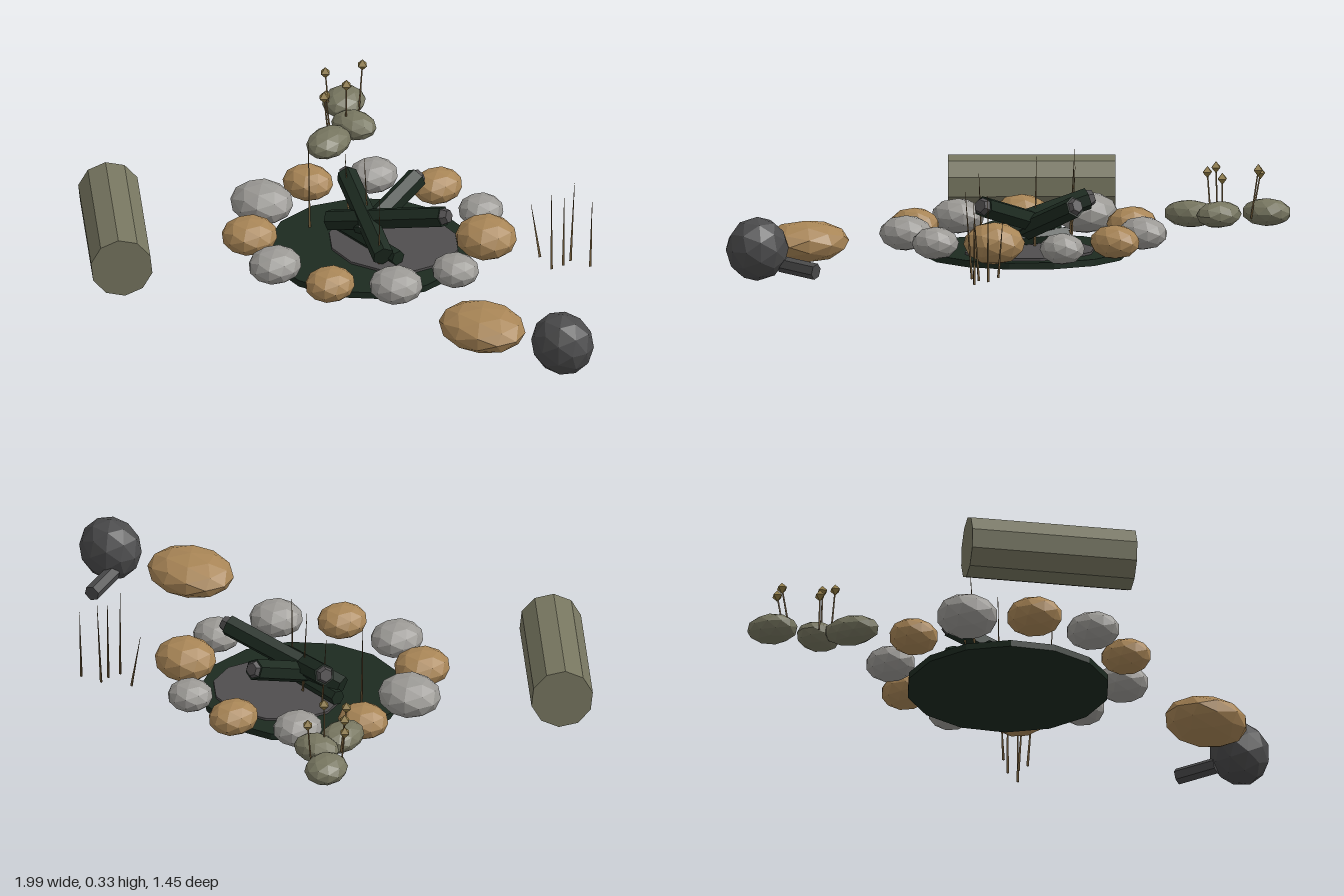
import * as THREE from 'three';

const mat = (name, color) => {
  const m = new THREE.MeshStandardMaterial({ color, flatShading: true });
  m.name = name;
  return m;
};

export function createModel() {
  const root = new THREE.Group();
  root.name = 'campfireSite';
  const tan = mat('tan stone', 0xa88556);
  const grey = mat('grey stone', 0x9b9995);
  const dark = mat('charcoal', 0x4a4a4b);
  const burnt = mat('burnt wood', 0x1c2a20);
  const ash = mat('ash', 0x504e4f);
  const wood = mat('weathered log', 0x777660);
  const leaf = mat('dry shrub', 0x777660);
  const bloom = mat('flower', 0x8f7a42);
  const stem = mat('dry stem', 0x6b5636);

  const add = (name, geo, material, x, y, z, parent = root) => {
    const mesh = new THREE.Mesh(geo, material);
    mesh.name = name;
    mesh.position.set(x, y, z);
    parent.add(mesh);
    return mesh;
  };
  const group = (name) => {
    const g = new THREE.Group();
    g.name = name;
    root.add(g);
    return g;
  };
  // Tapered cylinder running from point a to point b
  const rod = (name, a, b, r0, r1, sides, material, parent = root) => {
    const p = new THREE.Vector3(...a), q = new THREE.Vector3(...b);
    const d = q.clone().sub(p);
    const m = add(name, new THREE.CylinderGeometry(r1, r0, d.length(), sides), material,
      (p.x + q.x) / 2, (p.y + q.y) / 2, (p.z + q.z) / 2, parent);
    m.quaternion.setFromUnitVectors(new THREE.Vector3(0, 1, 0), d.normalize());
    return m;
  };
  // Faceted ellipsoid
  const lump = (name, material, x, y, z, rx, ry, rz, turn = 0, parent = root) => {
    const m = add(name, new THREE.IcosahedronGeometry(1, 1), material, x, y, z, parent);
    m.scale.set(rx, ry, rz);
    m.rotation.y = turn;
    return m;
  };

  // Scorched ground and ash bed
  add('scorchedGround', new THREE.CylinderGeometry(0.335, 0.335, 0.022, 14), burnt, -0.15, 0.017, -0.14);
  const bed = add('ashBed', new THREE.CylinderGeometry(0.225, 0.225, 0.01, 12), ash, -0.105, 0.031, -0.21);
  bed.scale.z = 0.9;

  // Ring of stones: x, z, rx, ry, rz, material
  const ring = group('stoneRing');
  [
    [-0.20, -0.52, 0.078, 0.056, 0.088, tan], [0.015, -0.5, 0.075, 0.052, 0.075, grey],
    [0.18, -0.35, 0.104, 0.07, 0.1, tan], [0.245, -0.135, 0.08, 0.054, 0.076, grey],
    [0.18, 0.08, 0.09, 0.058, 0.088, grey], [0.015, 0.22, 0.08, 0.055, 0.086, tan],
    [-0.205, 0.25, 0.085, 0.058, 0.092, grey], [-0.405, 0.16, 0.092, 0.06, 0.094, tan],
    [-0.525, -0.025, 0.108, 0.068, 0.1, grey], [-0.525, -0.245, 0.087, 0.056, 0.08, tan],
    [-0.405, -0.43, 0.08, 0.055, 0.085, grey],
  ].forEach(([x, z, rx, ry, rz, m]) => lump('stone', m, x, 0.03 + ry, z, rx, ry, rz, 0, ring));

  // Charred sticks leaning across each other, with paler burnt tips
  const fire = group('firewood');
  [
    [[-0.155, 0.08, -0.11], [-0.155, 0.19, -0.375]],
    [[-0.01, 0.07, -0.06], [-0.34, 0.185, -0.235]],
    [[-0.3, 0.08, -0.11], [0.11, 0.2, -0.22]],
  ].forEach(([a, b]) => {
    rod('charredStick', a, b, 0.036, 0.036, 6, burnt, fire);
    const tip = b.map((v, i) => v + (v - a[i]) * 0.05);
    rod('stickTip', b, tip, 0.03, 0.022, 6, ash, fire);
  });
  rod('lowStick', [-0.32, 0.06, -0.15], [0.02, 0.06, -0.1], 0.026, 0.026, 6, burnt, fire);

  // Sitting log
  const log = rod('sittingLog', [-0.928, 0.113, 0.278], [-0.521, 0.113, 0.647], 0.103, 0.103, 10, wood);
  log.rotateY(Math.PI / 10);

  // Loose boulder
  lump('boulder', tan, 0.597, 0.097, 0.11, 0.155, 0.069, 0.128);

  // Round pot with its stub handle
  lump('pot', dark, 0.884, 0.11, 0.03, 0.11, 0.106, 0.096);
  rod('potHandle', [0.825, 0.06, -0.02], [0.792, 0.045, -0.155], 0.027, 0.027, 6, dark);

  // Dry shrub
  const shrub = group('shrub');
  lump('shrubClump', leaf, -0.75, 0.145, -0.655, 0.07, 0.046, 0.085, 0.4, shrub);
  lump('shrubClump', leaf, -0.62, 0.14, -0.565, 0.082, 0.044, 0.065, 0, shrub);
  lump('shrubClump', leaf, -0.61, 0.13, -0.435, 0.067, 0.045, 0.095, 0.25, shrub);

  // Flowers on thin stems
  [
    [-0.69, 0.293, -0.68], [-0.777, 0.265, -0.595], [-0.63, 0.293, -0.54],
    [-0.69, 0.245, -0.505], [-0.66, 0.266, -0.465],
  ].forEach(([x, y, z]) => {
    rod('flowerStem', [x * 0.8 - 0.13, 0.13, z * 0.8 - 0.11], [x, y, z], 0.004, 0.003, 4, stem, shrub);
    add('flowerHead', new THREE.OctahedronGeometry(0.02), bloom, x, y, z, shrub);
  });

  // Dry grass blades: base x, z, tip x, height, tip z
  const grass = group('dryGrass');
  [
    [0.29, -0.49, 0.26, 0.2, -0.48], [0.385, -0.5, 0.4, 0.27, -0.49],
    [0.375, -0.455, 0.39, 0.3, -0.44], [0.455, -0.555, 0.46, 0.25, -0.56],
    [0.38, -0.54, 0.39, 0.3, -0.55],
    [-0.38, -0.1, -0.395, 0.33, -0.11], [-0.295, -0.2, -0.315, 0.29, -0.2],
    [-0.17, -0.16, -0.185, 0.33, -0.155], [-0.03, -0.06, -0.02, 0.28, -0.055],
  ].forEach(([x, z, tx, h, tz]) =>
    rod('grassBlade', [x, 0.012, z], [tx, h, tz], 0.005, 0.0008, 3, stem, grass));

  return root;
}
